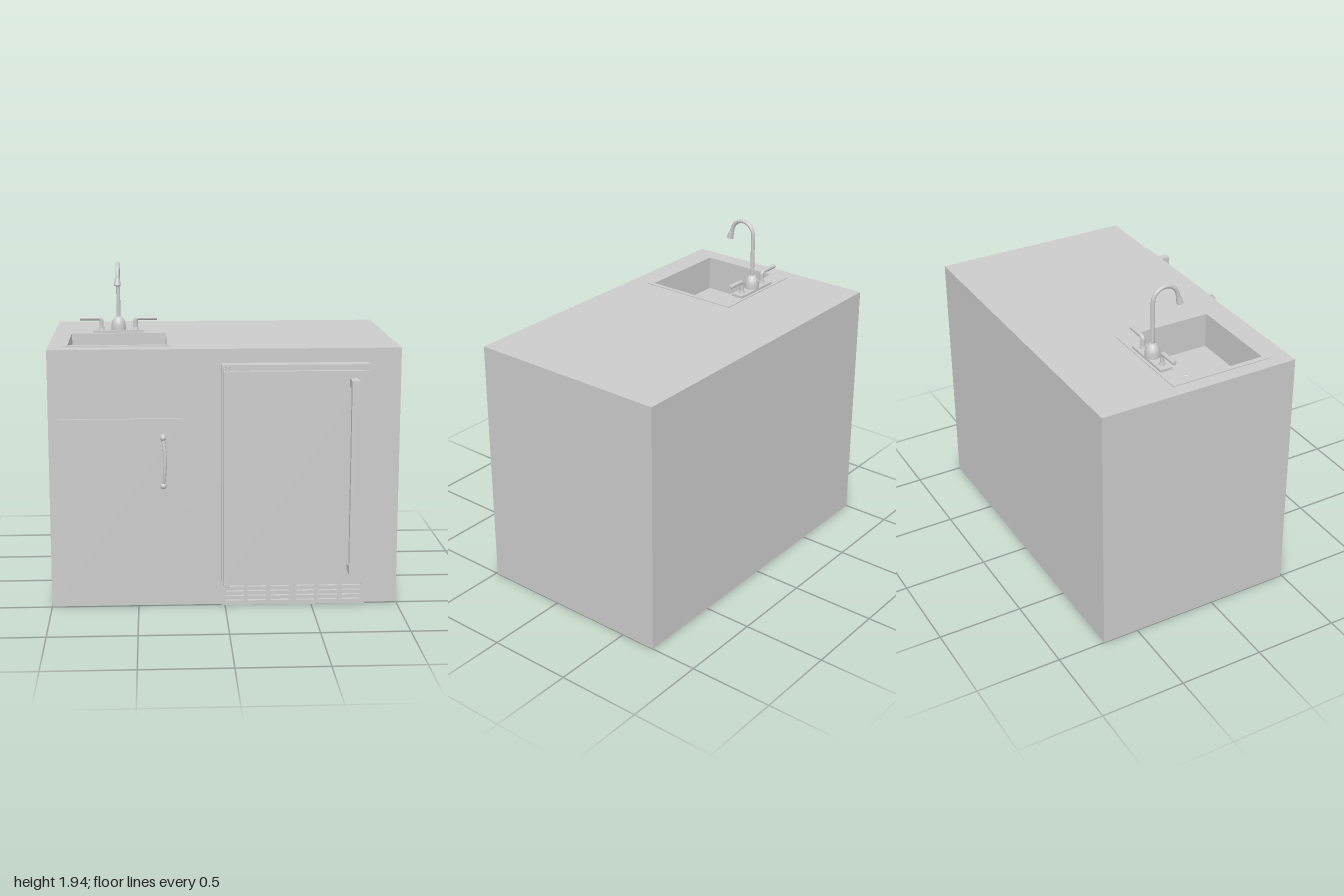
import * as THREE from 'three';

const mat = new THREE.MeshStandardMaterial({ color: 0xcccccc });
const thin = new THREE.MeshStandardMaterial({ color: 0xcccccc, side: THREE.DoubleSide });

function add(parent, name, geo, x = 0, y = 0, z = 0, material = mat) {
  const m = new THREE.Mesh(geo, material);
  m.name = name;
  m.position.set(x, y, z);
  parent.add(m);
  return m;
}

// Box given by its minimum and maximum on each axis
function box(parent, name, x0, x1, y0, y1, z0, z1) {
  return add(parent, name, new THREE.BoxGeometry(x1 - x0, y1 - y0, z1 - z0),
    (x0 + x1) / 2, (y0 + y1) / 2, (z0 + z1) / 2);
}

// Box without its top face
function openBox(w, h, d) {
  const g = new THREE.BoxGeometry(w, h, d);
  const idx = Array.from(g.index.array);
  idx.splice(12, 6);
  g.setIndex(idx);
  g.clearGroups();
  return g;
}

function rect(x0, x1, y0, y1, Type = THREE.Shape) {
  const s = new Type();
  s.moveTo(x0, y0);
  s.lineTo(x1, y0);
  s.lineTo(x1, y1);
  s.lineTo(x0, y1);
  s.closePath();
  return s;
}

// Horizontal slot with round ends
function slot(x0, x1, y, r) {
  const p = new THREE.Path();
  p.moveTo(x0 + r, y - r);
  p.lineTo(x1 - r, y - r);
  p.absarc(x1 - r, y, r, -Math.PI / 2, Math.PI / 2, false);
  p.lineTo(x0 + r, y + r);
  p.absarc(x0 + r, y, r, Math.PI / 2, Math.PI * 1.5, false);
  return p;
}

const v = (x, y, z) => new THREE.Vector3(x, y, z);
const cyl = (r0, r1, h, n = 24) => new THREE.CylinderGeometry(r0, r1, h, n);
const lathe = pts => new THREE.LatheGeometry(pts.map(p => new THREE.Vector2(...p)), 28);

function buildCounter(g) {
  add(g, 'cabinetBody', openBox(2, 1.5, 1.205), 0, 0.75, -0.1125);
  const top = rect(-1, 1, -0.49, 0.715);
  top.holes.push(rect(-0.89, -0.325, -0.345, 0.13, THREE.Path));
  add(g, 'countertop', new THREE.ShapeGeometry(top).rotateX(-Math.PI / 2), 0, 1.5, 0);
}

function buildSink(g) {
  const rim = rect(-0.92, -0.3, -0.38, 0.24);
  rim.holes.push(rect(-0.89, -0.325, -0.345, 0.13, THREE.Path));
  const rimGeo = new THREE.ExtrudeGeometry(rim, { depth: 0.005, bevelEnabled: false });
  add(g, 'sinkRim', rimGeo.rotateX(-Math.PI / 2), 0, 1.5, 0);

  // Basin narrows slightly towards the floor
  const basin = openBox(0.565, 0.2, 0.475);
  const p = basin.attributes.position;
  for (let i = 0; i < p.count; i++) {
    if (p.getY(i) < 0) p.setXYZ(i, p.getX(i) * 0.97, p.getY(i), p.getZ(i) * 0.97);
  }
  const basinMat = mat.clone();
  basinMat.side = THREE.DoubleSide;
  add(g, 'sinkBasin', basin, -0.6075, 1.4, 0.1075, basinMat);

  add(g, 'drainRing', new THREE.TorusGeometry(0.05, 0.007, 8, 32).rotateX(Math.PI / 2), -0.61, 1.302, 0.025);
  add(g, 'drainStrainer', cyl(0.045, 0.045, 0.006), -0.61, 1.303, 0.025);
}

function buildFaucet(g) {
  const f = new THREE.Group();
  f.name = 'faucet';
  f.position.set(-0.61, 1.5, -0.185);
  g.add(f);
  box(f, 'faucetPlate', -0.155, 0.155, 0, 0.02, -0.04, 0.035);
  add(f, 'faucetBell', lathe([[0.043, 0.02], [0.043, 0.05], [0.038, 0.072], [0.026, 0.092], [0.016, 0.1], [0, 0.102]]));

  // Gooseneck: straight riser followed by an arc
  const R = 0.077, neck = [v(0, 0.08, 0), v(0, 0.2, 0), v(0, 0.3, 0)];
  for (let i = 0; i <= 12; i++) {
    const a = Math.PI - (i / 12) * 2.85;
    neck.push(v(0, 0.348 + R * Math.sin(a), R + R * Math.cos(a)));
  }
  const end = v(0, 0.338, 0.16);
  neck.push(end);
  add(f, 'spout', new THREE.TubeGeometry(new THREE.CatmullRomCurve3(neck), 64, 0.012, 14), 0, 0, 0, thin);
  const nozzle = add(f, 'nozzle', cyl(0.015, 0.02, 0.042), 0, 0.323, 0.165);
  nozzle.rotation.x = -0.25;

  // Mirrored lever handles
  for (const s of [-1, 1]) {
    const name = s > 0 ? 'leftLever' : 'rightLever';
    const path = new THREE.CurvePath();
    path.add(new THREE.LineCurve3(v(s * 0.103, 0.02, 0), v(s * 0.103, 0.07, 0)));
    path.add(new THREE.QuadraticBezierCurve3(v(s * 0.103, 0.07, 0), v(s * 0.103, 0.09, 0), v(s * 0.125, 0.09, 0)));
    path.add(new THREE.LineCurve3(v(s * 0.125, 0.09, 0), v(s * 0.23, 0.09, 0)));
    add(f, name, new THREE.TubeGeometry(path, 40, 0.013, 14), 0, 0, 0, thin);
    add(f, name + 'Tip', cyl(0.013, 0.013, 0.004, 14).rotateZ(Math.PI / 2), s * 0.229, 0.09, 0);
    add(f, name + 'Collar', cyl(0.016, 0.019, 0.015), s * 0.103, 0.0275, 0);
  }
}

function buildCabinetDoor(g) {
  box(g, 'cabinetDoor', -0.945, -0.24, 0.06, 1.105, 0.485, 0.505);
  // Bowed pull handle
  const path = new THREE.CatmullRomCurve3([v(-0.352, 0.72, 0.525), v(-0.345, 0.79, 0.536),
    v(-0.341, 0.86, 0.54), v(-0.345, 0.93, 0.536), v(-0.352, 1.0, 0.525)]);
  add(g, 'cabinetHandle', new THREE.TubeGeometry(path, 32, 0.01, 12), 0, 0, 0, thin);
  for (const y of [0.72, 1.0]) {
    add(g, 'handleFoot', cyl(0.012, 0.018, 0.025).rotateX(Math.PI / 2), -0.352, y, 0.515);
    add(g, 'handleKnob', new THREE.SphereGeometry(0.018, 18, 12), -0.352, y, 0.526);
  }
}

function buildFridge(g) {
  box(g, 'fridgeCase', -0.02, 0.81, 0.15, 1.42, 0.485, 0.57);
  box(g, 'fridgeDoor', -0.012, 0.802, 0.158, 1.39, 0.583, 0.613);

  // Kick plate with six groups of vent slots
  const plate = rect(-0.02, 0.81, 0, 0.15);
  for (const x of [0, 0.127, 0.262, 0.41, 0.542, 0.675]) {
    for (let i = 0; i < 4; i++) plate.holes.push(slot(x, x + 0.113, 0.034 + i * 0.028, 0.007));
  }
  add(g, 'ventGrille', new THREE.ExtrudeGeometry(plate, { depth: 0.02, bevelEnabled: false, curveSegments: 6 }), 0, 0, 0.495);
  box(g, 'ventBacking', -0.02, 0.81, 0, 0.15, 0.485, 0.495);

  // Hinges at the top and bottom corners
  for (const y of [1.4, 0.149]) {
    box(g, 'hingeBracket', -0.012, 0.022, y - 0.005, y + 0.005, 0.565, 0.612);
    add(g, 'hingePin', cyl(0.01, 0.01, 0.03, 16), 0.008, y, 0.6);
  }

  // Square bar handle
  box(g, 'fridgeHandleBar', 0.692, 0.736, 0.235, 1.348, 0.677, 0.713);
  for (const y of [0.235, 1.304]) box(g, 'fridgeHandlePost', 0.692, 0.736, y, y + 0.044, 0.61, 0.68);
}

export function createModel() {
  const g = new THREE.Group();
  g.name = 'outdoorKitchenIsland';
  for (const build of [buildCounter, buildSink, buildFaucet, buildCabinetDoor, buildFridge]) build(g);
  return g;
}
